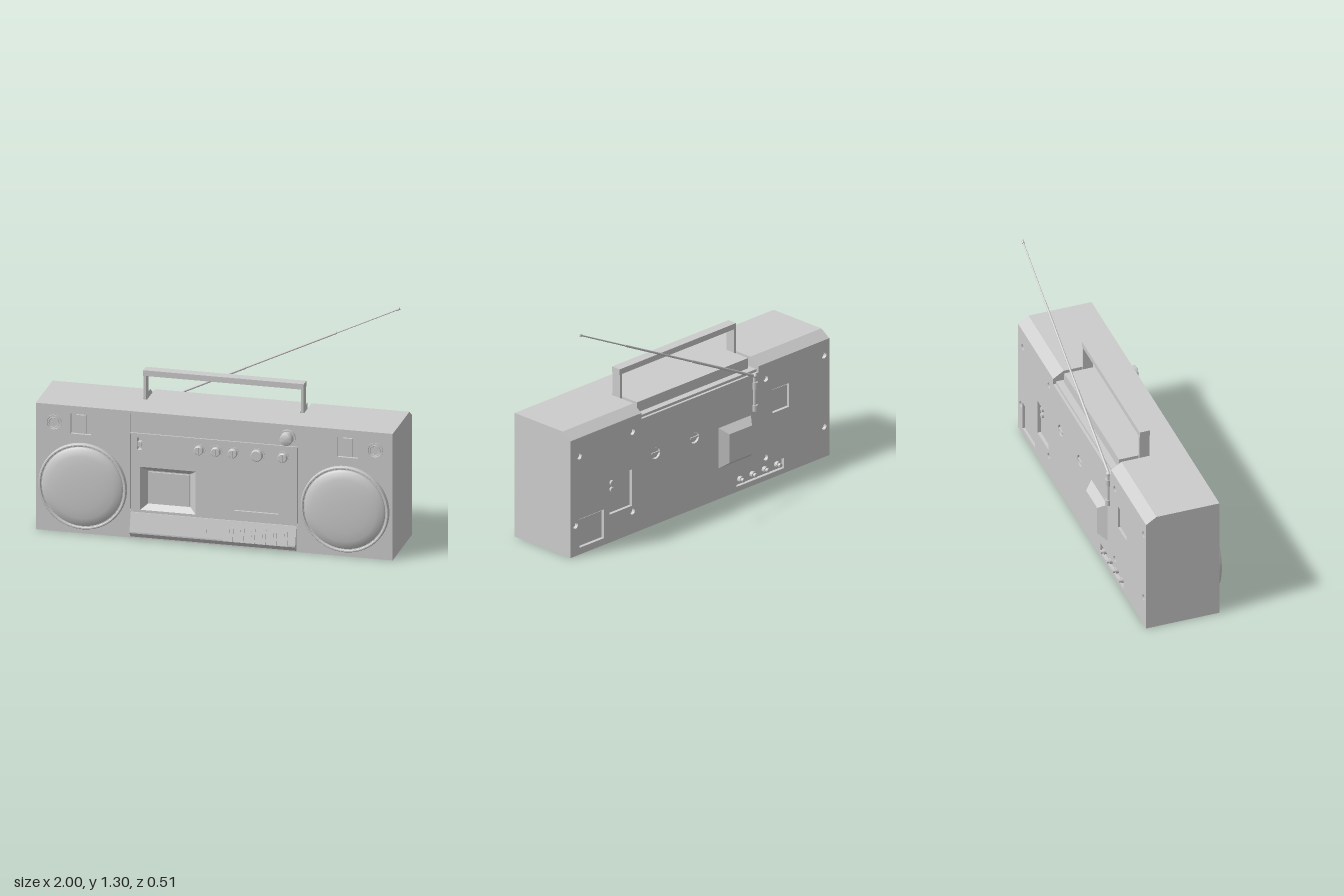
import * as THREE from 'three';
import { toCreasedNormals } from 'three/addons/utils/BufferGeometryUtils.js';

const grey = new THREE.MeshStandardMaterial({ color: 0xcccccc, side: THREE.DoubleSide });
grey.name = 'light grey';

export function createModel() {
  const root = new THREE.Group();
  root.name = 'portableStereo';

  const add = (name, geo, x = 0, y = 0, z = 0) => {
    const m = new THREE.Mesh(geo, grey);
    m.name = name;
    m.position.set(x, y, z);
    root.add(m);
    return m;
  };
  // Box given by its limits on each axis
  const block = (name, x0, x1, y0, y1, z0, z1) =>
    add(name, new THREE.BoxGeometry(x1 - x0, y1 - y0, z1 - z0), (x0 + x1) / 2, (y0 + y1) / 2, (z0 + z1) / 2);
  // [z, y] profile swept along x
  const prism = (name, pts, x0, x1) => {
    const s = new THREE.Shape(pts.map(([z, y]) => new THREE.Vector2(-z, y)));
    const g = new THREE.ExtrudeGeometry(s, { depth: x1 - x0, bevelEnabled: false });
    return add(name, g.rotateY(Math.PI / 2), x0);
  };
  const rect = (C, x0, x1, y0, y1) => new C([[x0, y0], [x1, y0], [x1, y1], [x0, y1]].map(p => new THREE.Vector2(...p)));
  const round = (x, y, r) => new THREE.Path().absarc(x, y, r, 0, Math.PI * 2);
  // Rectangular sheet with holes cut through it
  const plate = (name, x0, x1, y0, y1, z0, z1, holes) => {
    const s = rect(THREE.Shape, x0, x1, y0, y1);
    s.holes.push(...holes);
    return add(name, new THREE.ExtrudeGeometry(s, { depth: z1 - z0, bevelEnabled: false, curveSegments: 10 }), 0, 0, z0);
  };
  const hole = (...a) => rect(THREE.Path, ...a);
  // [radius, z] profile turned about the z axis
  const turned = (name, pts, x, y, z, seg = 32) => {
    const g = new THREE.LatheGeometry(pts.map(p => new THREE.Vector2(...p)), seg).rotateX(Math.PI / 2);
    return add(name, toCreasedNormals(g, 0.6), x, y, z);
  };
  // Four-sided taper, narrow end toward +z
  const taper = (name, w, h, d, k, open, x, y, z) => {
    const r = Math.SQRT1_2;
    const g = new THREE.CylinderGeometry(r * k, r, d, 4, 1, open).rotateY(Math.PI / 4).rotateX(Math.PI / 2);
    return add(name, toCreasedNormals(g.scale(w, h, 1), 0.5), x, y, z);
  };

  // Case: two ends, two narrow slots for the handle arms, and a stepped middle
  const lower = [[0.18, 0], [-0.19, 0], [-0.19, 0.64], [-0.21, 0.64]];
  const endProfile = [...lower, [-0.21, 0.69], [-0.15, 0.73], [0.18, 0.73]];
  const step = [...lower, [-0.21, 0.655], [-0.195, 0.655], [-0.195, 0.67]];
  const slotProfile = [...step, [0.015, 0.67], [0.015, 0.73], [0.18, 0.73]];
  const middleProfile = [...step, [-0.155, 0.67], [-0.155, 0.73], [0.18, 0.73]];
  prism('caseLeftEnd', endProfile, 0.452, 1);
  prism('caseRightEnd', endProfile, -1, -0.452);
  prism('handleSlot', slotProfile, 0.428, 0.452);
  prism('handleSlot', slotProfile, -0.452, -0.428);
  prism('caseMiddle', middleProfile, -0.428, 0.428);

  // Front panel with openings
  plate('frontPanel', -1, 1, 0, 0.73, 0.18, 0.215, [
    hole(-0.47, 0.465, 0.605, 0.715), hole(-0.415, -0.105, 0.165, 0.413),
    hole(-0.805, -0.69, 0.57, 0.685), hole(0.69, 0.805, 0.57, 0.685),
    hole(-0.432, -0.407, 0.51, 0.58), hole(0.11, 0.36, 0.207, 0.212),
    hole(-0.473, -0.468, 0.16, 0.6), hole(0.464, 0.469, 0.16, 0.6),
  ]);
  block('tunerWindow', -0.47, 0.465, 0.605, 0.715, 0.18, 0.206);
  block('slideSwitch', -0.43, -0.409, 0.53, 0.555, 0.18, 0.216);

  // Cassette well with sloping sides
  taper('cassetteWell', 0.31, 0.248, 0.032, 0.77, true, -0.26, 0.289, 0.199).rotation.y = Math.PI;
  block('cassetteWindow', -0.372, -0.148, 0.2, 0.378, 0.18, 0.19);

  // Speakers, corner dials and slider windows on both sides
  for (const s of [-1, 1]) {
    const x = 0.735 * s, y = 0.275;
    turned('speakerRim', [[0.247, 0], [0.247, 0.014], [0.242, 0.022], [0.236, 0.022], [0.231, 0.012], [0.226, 0.012]], x, y, 0.215, 56);
    turned('speakerGrille', [[0.228, 0], [0.226, 0.018], [0.215, 0.026], [0.18, 0.035], [0.13, 0.041], [0.07, 0.044], [0, 0.045]], x, y, 0.215, 40);
    for (let i = 0; i < 48; i++) {
      const a = i / 48 * Math.PI * 2;
      add('rimNotch', new THREE.BoxGeometry(0.004, 0.016, 0.004),
        x + 0.232 * Math.cos(a), y + 0.232 * Math.sin(a), 0.228).rotation.z = a;
    }
    turned('cornerDialRing', [[0.045, 0], [0.045, 0.006], [0.037, 0.006], [0.035, 0]], 0.9 * s, 0.625, 0.215);
    turned('cornerDial', [[0.032, 0], [0.032, 0.008], [0.026, 0.008], [0.024, 0.004], [0, 0.004]], 0.9 * s, 0.625, 0.215, 16);
    block('sliderBase', 0.747 * s - 0.058, 0.747 * s + 0.058, 0.57, 0.685, 0.18, 0.198);
    block('sliderCap', 0.747 * s - 0.027, 0.747 * s + 0.027, 0.575, 0.68, 0.19, 0.214);
  }

  // Control knobs: [x, y, radius, depth]
  for (const [x, y, r, d] of [[-0.085, 0.54, 0.027, 0.022], [0.01, 0.54, 0.027, 0.022], [0.105, 0.54, 0.027, 0.022],
    [0.24, 0.54, 0.034, 0.022], [0.385, 0.54, 0.027, 0.022], [0.41, 0.655, 0.036, 0.042]]) {
    turned('knobCollar', [[r + 0.008, -0.01], [r + 0.008, 0.004], [r, 0.004]], x, y, 0.215, 24);
    turned('knob', [[r, -0.01], [r * 0.95, d - 0.003], [r * 0.82, d], [0, d]], x, y, 0.215, 20);
    if (r < 0.03) block('knobPointer', x - 0.005, x + 0.005, y - r * 0.8, y + r * 0.8, 0.23, 0.243);
  }

  // Sloping key deck
  prism('keyDeck', [[0.21, 0.15], [0.221, 0.15], [0.248, 0.045], [0.248, 0.037], [0.225, 0.01], [0.21, 0.01]], -0.467, 0.462);
  const tilt = -0.25;
  for (let i = 0; i < 6; i++) {
    const x = 0.0855 + i * 0.061;
    add('key', new THREE.BoxGeometry(0.054, 0.08, 0.012), x, 0.078, 0.241).rotation.x = tilt;
    add('keyRidge', new THREE.BoxGeometry(0.018, 0.034, 0.012), x, 0.092, 0.243).rotation.x = tilt;
  }
  add('ejectButton', new THREE.BoxGeometry(0.065, 0.042, 0.012), -0.068, 0.078, 0.239).rotation.x = tilt;

  // Carrying handle
  block('handleBar', -0.45, 0.45, 0.865, 0.897, -0.043, 0.015);
  for (const s of [-1, 1]) block('handleArm', 0.441 * s - 0.007, 0.441 * s + 0.007, 0.67, 0.88, -0.043, 0.015);

  // Back panel with recessed hatches and screw holes
  const screws = [[0.93, 0.58], [0.52, 0.6], [0.96, 0.18], [0.52, 0.13], [-0.51, 0.6], [-0.96, 0.6], [-0.51, 0.135], [-0.96, 0.18]];
  plate('backPanel', -1, 1, 0, 0.64, -0.21, -0.19, [
    hole(0.74, 0.93, 0.04, 0.21), hole(0.525, 0.7, 0.165, 0.38), hole(-0.69, -0.56, 0.38, 0.52),
    hole(-0.65, -0.285, 0.03, 0.09), ...screws.map(([x, y]) => round(x, y, 0.018)),
    round(0.34, 0.42, 0.034), round(0.04, 0.42, 0.034),
  ]);
  block('hatchCover', 0.748, 0.922, 0.048, 0.202, -0.2, -0.19);
  block('socketCover', -0.682, -0.568, 0.388, 0.512, -0.2, -0.19);
  for (const [x, y] of screws) turned('screw', [[0.012, 0], [0.01, 0.006], [0, 0.008]], x, y, -0.19, 12).rotation.y = Math.PI;
  for (const x of [0.34, 0.04]) {
    turned('largeScrew', [[0.03, 0], [0.028, 0.012], [0, 0.014]], x, 0.42, -0.19, 20).rotation.y = Math.PI;
    block('screwBar', x - 0.028, x + 0.028, 0.415, 0.425, -0.21, -0.2);
  }
  for (const y of [0.34, 0.3]) turned('socket', [[0.014, 0], [0.014, 0.012], [0, 0.012]], 0.665, y, -0.19, 14).rotation.y = Math.PI;
  for (let i = 0; i < 4; i++)
    turned('jack', [[0.017, 0], [0.017, 0.02], [0.011, 0.02], [0.011, 0.036], [0, 0.036]], -0.325 - i * 0.095, 0.06, -0.19, 14).rotation.y = Math.PI;
  taper('cordHousing', 0.25, 0.24, 0.046, 0.7, false, -0.27, 0.3, -0.232).rotation.y = Math.PI;

  // Folding aerial: pivot, stem and three telescoping lengths
  const rod = (name, a, b, r) => {
    const p = new THREE.Vector3(...a), d = new THREE.Vector3(...b).sub(p);
    const c = p.clone().addScaledVector(d, 0.5);
    add(name, new THREE.CylinderGeometry(r, r, d.length(), 12), c.x, c.y, c.z)
      .quaternion.setFromUnitVectors(new THREE.Vector3(0, 1, 0), d.normalize());
  };
  const along = t => [-0.42 + 1.35 * t, 0.645 + 0.652 * t, -0.212];
  rod('aerialStem', [-0.42, 0.45, -0.214], [-0.42, 0.64, -0.214], 0.011);
  rod('aerialFoot', [-0.42, 0.44, -0.216], [-0.42, 0.475, -0.216], 0.016);
  rod('aerialCollar', [-0.42, 0.57, -0.216], [-0.42, 0.61, -0.216], 0.016);
  add('aerialPivot', new THREE.SphereGeometry(0.014, 14, 10), -0.42, 0.645, -0.214);
  rod('aerialLower', along(0), along(0.36), 0.0075);
  rod('aerialMiddle', along(0.36), along(0.74), 0.006);
  rod('aerialUpper', along(0.74), along(0.99), 0.004);
  rod('aerialTip', along(0.987), along(1), 0.0065);

  return root;
}
